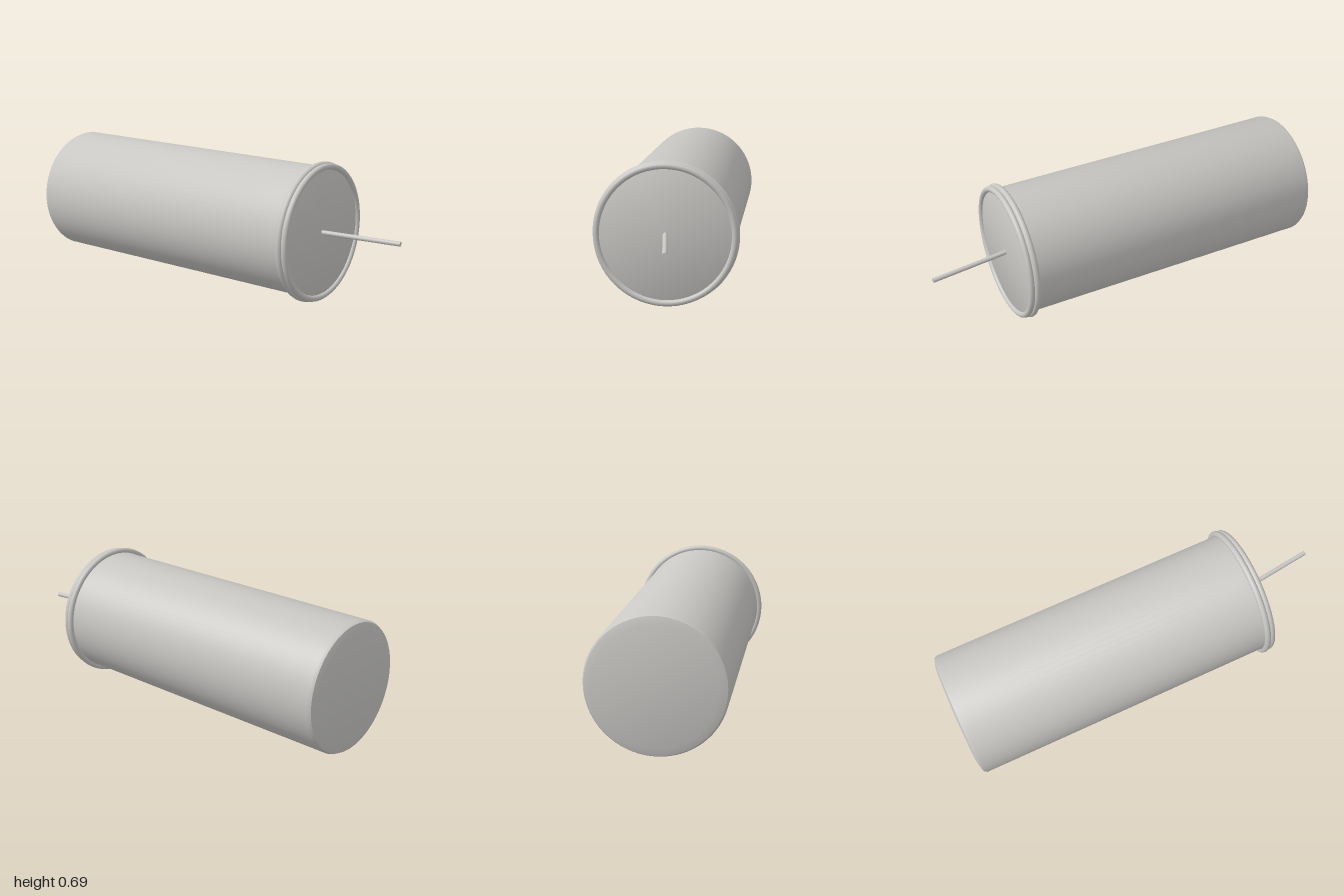
import * as THREE from 'three';
import { toCreasedNormals } from 'three/addons/utils/BufferGeometryUtils.js';

const AXIS_Y = 0.343;
const SEGMENTS = 72;

export function createModel() {
  const group = new THREE.Group();
  group.name = 'canister';
  const metal = new THREE.MeshStandardMaterial({ color: 0xc8c7c4 });
  metal.name = 'grey metal';

  // Turned part along z, from [radius, z] points running back to front
  const turned = (name, profile) => {
    const points = profile.map(([r, z]) => new THREE.Vector2(r, z));
    const geometry = toCreasedNormals(new THREE.LatheGeometry(points, SEGMENTS), 0.55);
    geometry.rotateX(Math.PI / 2);
    const mesh = new THREE.Mesh(geometry, metal);
    mesh.name = name;
    mesh.position.y = AXIS_Y;
    group.add(mesh);
  };

  // Straight can with a bevelled back end
  turned('body', [[0, -1], [0.275, -1], [0.31, -0.99], [0.318, -0.975], [0.318, 0.555], [0.322, 0.575]]);

  // Two rolled beads round the front
  const bead = (name, radius, z, tube) => {
    const mesh = new THREE.Mesh(new THREE.TorusGeometry(radius, tube, 14, SEGMENTS), metal);
    mesh.name = name;
    mesh.position.set(0, AXIS_Y, z);
    group.add(mesh);
  };
  bead('rearBead', 0.327, 0.578, 0.016);
  bead('frontBead', 0.322, 0.605, 0.015);

  // Slightly sunken front cover
  turned('frontCover', [[0.32, 0.6], [0.308, 0.606], [0, 0.606]]);

  // Gently bent wire lead with a closed tip
  const path = new THREE.QuadraticBezierCurve3(
    new THREE.Vector3(0, AXIS_Y + 0.002, 0.6),
    new THREE.Vector3(0.023, AXIS_Y + 0.002, 0.77),
    new THREE.Vector3(0.051, AXIS_Y + 0.002, 0.999)
  );
  const wire = new THREE.Mesh(new THREE.TubeGeometry(path, 12, 0.0115, 16), metal);
  wire.name = 'wireLead';
  const tip = new THREE.Mesh(new THREE.CircleGeometry(0.0115, 16), metal);
  tip.name = 'wireTip';
  const end = path.getPoint(1);
  tip.position.copy(end);
  tip.lookAt(end.clone().add(path.getTangent(1)));
  group.add(wire, tip);

  return group;
}
